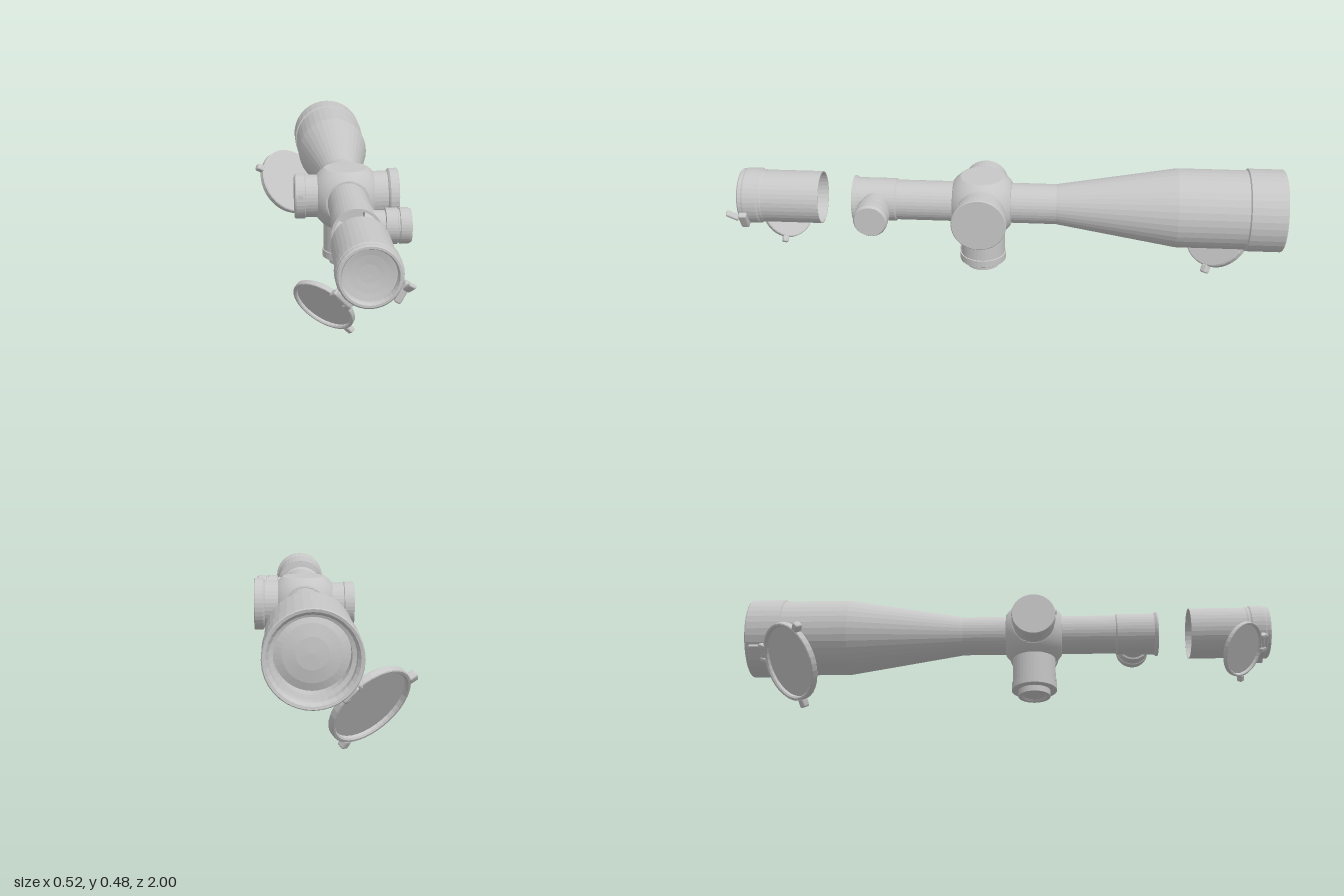
import * as THREE from 'three';
import { RoundedBoxGeometry } from 'three/addons/geometries/RoundedBoxGeometry.js';

const AX = 0.07, AY = 0.332, SADDLE_Z = 0.08;

export function createModel() {
  const root = new THREE.Group();
  const metal = new THREE.MeshStandardMaterial({ color: 0xc6c6c6, flatShading: true, side: THREE.DoubleSide });
  metal.name = 'light grey metal';

  const add = (parent, name, geo) => {
    const m = new THREE.Mesh(geo, metal);
    m.name = name;
    parent.add(m);
    return m;
  };
  // Turned part from [radius, distance] pairs
  const turned = pts => new THREE.LatheGeometry(pts.map(p => new THREE.Vector2(p[0], p[1])), 36);
  // Turned part along the optical axis
  const axial = (name, pts) => {
    add(root, name, turned(pts).rotateX(Math.PI / 2)).position.set(AX, AY, 0);
  };

  // Main tube with tapered objective bell, open at the rear
  axial('objectiveBell', [
    [0.115, -0.88], [0.115, -0.945], [0.128, -0.95], [0.128, -0.985], [0.137, -0.998], [0.146, -1], [0.149, -0.996],
    [0.149, -0.872], [0.143, -0.868], [0.143, -0.62], [0.075, -0.2], [0.073, -0.19], [0.073, 0]]);
  axial('mainTube', [
    [0.073, 0.1], [0.073, 0.39], [0.078, 0.395], [0.078, 0.535], [0.085, 0.545], [0.085, 0.55], [0.076, 0.55], [0.07, 0.4]]);
  axial('objectiveLens', [[0.115, -0.89], [0.09, -0.9], [0.05, -0.908], [0, -0.911]]);

  // Eyepiece, hollow at its forward end
  axial('eyepiece', [
    [0.093, 0.67], [0.096, 0.67], [0.096, 0.88], [0.098, 0.885], [0.098, 0.893], [0.102, 0.898], [0.102, 0.945],
    [0.099, 0.952], [0.099, 0.963], [0.094, 0.968], [0.087, 0.968], [0.082, 0.955], [0.082, 0.94]]);
  axial('eyepieceLens', [[0.082, 0.945], [0.06, 0.94], [0.03, 0.936], [0, 0.935]]);

  // Saddle: a ball trimmed by six flat faces
  const half = 0.106, ball = 0.132;
  const saddleGeo = new THREE.BoxGeometry(2, 2, 2, 32, 32, 32);
  const pos = saddleGeo.attributes.position, v = new THREE.Vector3();
  for (let i = 0; i < pos.count; i++) {
    v.fromBufferAttribute(pos, i).normalize();
    const reach = Math.max(Math.abs(v.x), Math.abs(v.y), Math.abs(v.z));
    v.multiplyScalar(Math.min(ball, half / reach));
    pos.setXYZ(i, v.x, v.y, v.z);
  }
  saddleGeo.computeVertexNormals();
  add(root, 'turretSaddle', saddleGeo).position.set(AX, AY, SADDLE_Z);

  // Turrets, profiles measured outwards from the optical axis
  const turret = (name, pts, rotZ, z) => {
    const m = add(root, name, turned(pts));
    m.rotation.z = rotZ;
    m.position.set(AX, AY, z);
  };
  turret('leftTurret', [
    [0.088, 0.08], [0.088, 0.148], [0.093, 0.151], [0.098, 0.156], [0.098, 0.185], [0.095, 0.188], [0, 0.188]], -Math.PI / 2, SADDLE_Z);
  turret('rightTurret', [
    [0.078, 0.08], [0.078, 0.149], [0.082, 0.152], [0.082, 0.184], [0.079, 0.188], [0, 0.188]], Math.PI / 2, SADDLE_Z);
  turret('lowerTurret', [
    [0.081, 0.08], [0.081, 0.202], [0.085, 0.203], [0.085, 0.229], [0.082, 0.231], [0.06, 0.231],
    [0.06, 0.254], [0.045, 0.255], [0.04, 0.248], [0, 0.248]], Math.PI, SADDLE_Z);
  turret('illuminationKnob', [
    [0.053, 0.03], [0.053, 0.098], [0.06, 0.1], [0.061, 0.138], [0.057, 0.14], [0.057, 0.145], [0.061, 0.147],
    [0.061, 0.175], [0.055, 0.185], [0, 0.185]], -Math.PI / 2, 0.465);

  // Set screws facing the rear
  for (const [x, y, z] of [[-0.098, 0.347, 0.161], [0.07, 0.145, 0.16]]) {
    add(root, 'setScrew', new THREE.CylinderGeometry(0.01, 0.01, 0.008, 16).rotateX(Math.PI / 2)).position.set(x, y, z);
  }

  // Flip-open covers: local x runs away from the hinge, local y is the inner face
  const cover = (name, a, t, reach, z, dir, tabs, tabSize) => {
    const g = new THREE.Group();
    g.name = name;
    const s = Math.SQRT1_2, tilt = 0.85, c = Math.cos(tilt), k = Math.sin(tilt);
    const X = new THREE.Vector3(-s * c, -s * c, dir * k);
    const Y = new THREE.Vector3(-s * k, -s * k, -dir * c);
    const Z = new THREE.Vector3().crossVectors(X, Y);
    g.quaternion.setFromRotationMatrix(new THREE.Matrix4().makeBasis(X, Y, Z));
    g.position.set(AX - s * reach, AY - s * reach, z);
    root.add(g);
    add(g, 'coverShell', turned([
      [0, -t / 2], [a * 0.97, -t / 2], [a, -t * 0.35], [a, t * 0.4], [a * 0.98, t / 2], [a * 0.93, t / 2],
      [a * 0.9, t * 0.3], [a * 0.9, -t * 0.1], [0, -t * 0.1]]));
    for (const angle of tabs) {
      const tab = add(g, 'coverTab', new RoundedBoxGeometry(tabSize * 1.2, t * 1.1, tabSize, 2, tabSize * 0.25));
      const r = a + tabSize * 0.4;
      tab.position.set(Math.cos(angle) * r, 0, Math.sin(angle) * r);
      tab.rotation.y = -angle;
    }
    // Hinge barrel with a lug at each end
    add(g, 'hingePin', new THREE.CylinderGeometry(0.009, 0.009, 0.07, 14).rotateX(Math.PI / 2)).position.set(-a - 0.004, t * 0.3, 0);
    for (const side of [-1, 1]) {
      add(g, 'hingeLug', new RoundedBoxGeometry(0.034, 0.024, 0.02, 2, 0.006)).position.set(-a - 0.004, t * 0.3, side * 0.026);
    }
  };
  cover('objectiveCover', 0.147, 0.026, 0.252, -0.808, 1, [1.17, -1.17], 0.028);
  cover('eyepieceCover', 0.103, 0.018, 0.18, 0.846, -1, [-1.53], 0.022);

  // Hinge brackets on the two rims
  for (const [r, z, len] of [[0.15, -0.955, 0.06], [0.105, 0.93, 0.045]]) {
    const b = add(root, 'hingeBracket', new RoundedBoxGeometry(0.02, 0.06, len, 2, 0.006));
    b.position.set(AX - r * Math.SQRT1_2, AY - r * Math.SQRT1_2, z);
    b.rotation.z = Math.PI / 4;
  }

  // Latch lever beside the eyepiece
  const latch = new THREE.Group();
  latch.name = 'eyepieceLatch';
  latch.position.set(0.17, 0.285, 0.945);
  latch.rotation.z = -0.5;
  root.add(latch);
  add(latch, 'latchBase', new RoundedBoxGeometry(0.022, 0.07, 0.03, 2, 0.006)).position.y = -0.008;
  const lever = add(latch, 'latchLever', new RoundedBoxGeometry(0.024, 0.05, 0.014, 2, 0.006));
  lever.position.set(0.002, 0.022, 0.035);
  lever.rotation.x = 0.9;

  return root;
}
